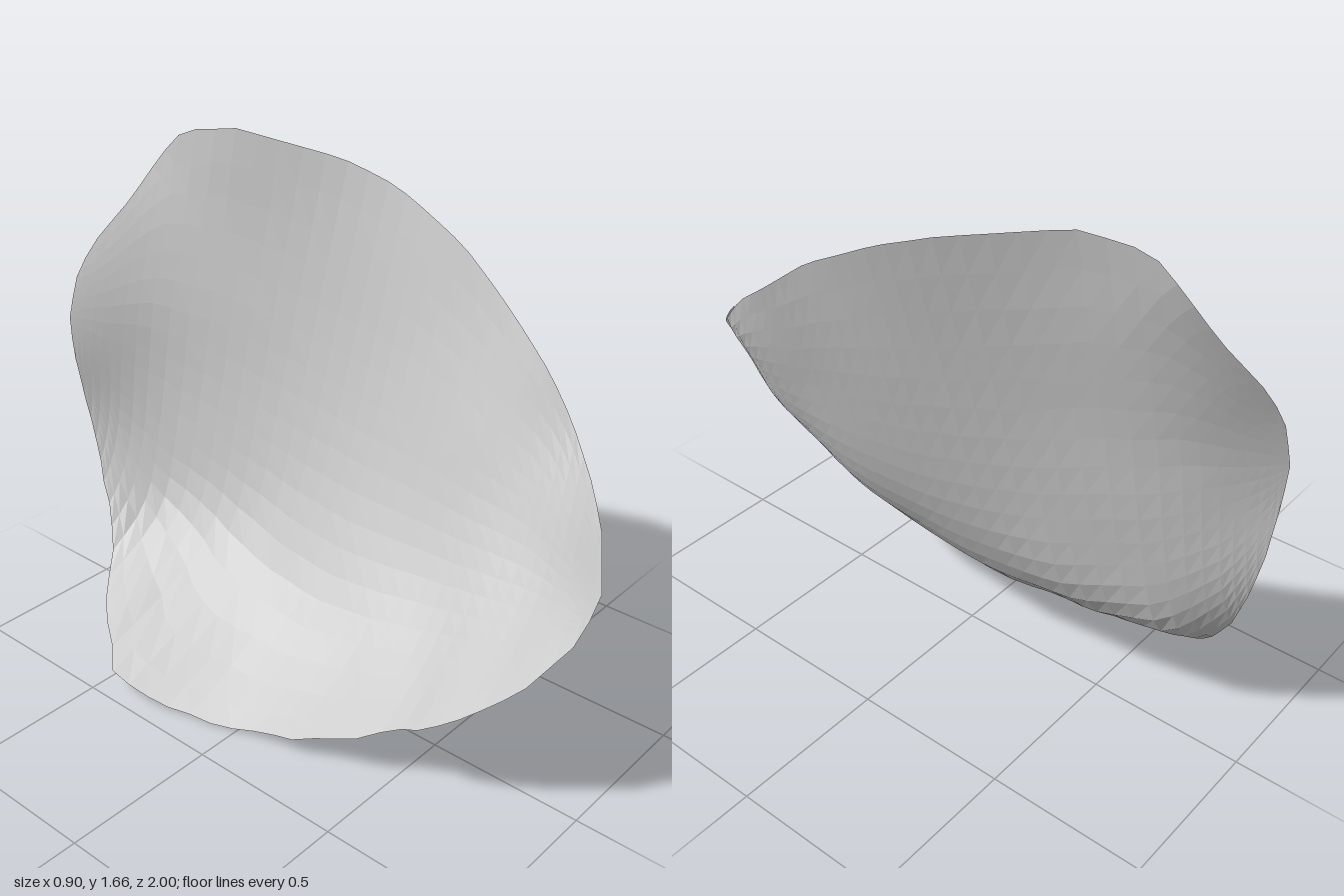
import * as THREE from 'three';

// Rim and body points as [z, y, x]; both rims run from the front tip to the back tip
const lowerRim = [
  [1, 0.77, 0], [0.98, 0.64, -0.06], [0.88, 0.485, -0.165], [0.75, 0.365, -0.21], [0.62, 0.27, -0.245],
  [0.4, 0.14, -0.28], [0.2, 0.06, -0.325], [0, 0.01, -0.355], [-0.1, 0.003, -0.385], [-0.26, 0.015, -0.43],
  [-0.45, 0.065, -0.455], [-0.62, 0.15, -0.33], [-0.71, 0.19, -0.235], [-0.76, 0.23, -0.17], [-0.82, 0.31, -0.11],
  [-0.9, 0.44, -0.065], [-0.945, 0.57, -0.045], [-0.975, 0.7, -0.05], [-0.99, 0.88, -0.07], [-1, 1.02, -0.07],
];
const upperRim = [
  [1, 0.77, 0], [0.92, 0.89, 0.11], [0.73, 0.98, 0.3], [0.57, 1.14, 0.37], [0.4, 1.26, 0.42], [0.2, 1.41, 0.445],
  [-0.05, 1.54, 0.44], [-0.22, 1.6, 0.395], [-0.53, 1.665, 0.26], [-0.71, 1.64, 0.205], [-0.79, 1.55, 0.175],
  [-0.87, 1.4, 0.1], [-0.94, 1.29, 0.03], [-0.985, 1.18, -0.03], [-1, 1.02, -0.07],
];
const body = [
  [0.88, 0.68, 0.05], [0.75, 0.48, -0.04], [0.75, 0.62, 0.11], [0.7, 0.8, 0.225],
  [0.5, 0.27, -0.11], [0.5, 0.38, 0.02], [0.5, 0.6, 0.18], [0.4, 0.87, 0.295],
  [0.2, 0.15, -0.15], [0.2, 0.27, 0], [0.1, 0.4, 0.105], [0.1, 0.6, 0.205], [0, 1.1, 0.345],
  [-0.15, 0.1, -0.2], [-0.2, 0.25, 0], [-0.2, 0.4, 0.1], [-0.3, 0.7, 0.19],
  [-0.5, 0.17, -0.2], [-0.55, 0.27, -0.04], [-0.6, 0.4, 0.055], [-0.6, 0.6, 0.105], [-0.5, 1.1, 0.2],
  [-0.76, 0.33, -0.03], [-0.78, 0.5, 0.03], [-0.8, 0.9, 0.06], [-0.8, 1.2, 0.09],
];

// Smooth thin-plate surface x(z, y) through the points
function smoothSurface(points) {
  const n = points.length, size = n + 3;
  const kernel = (a, z, y) => {
    const d = (a[0] - z) ** 2 + (a[1] - y) ** 2;
    return d > 1e-12 ? d * Math.log(d) : 0;
  };
  const m = Array.from({ length: size }, () => new Array(size + 1).fill(0));
  points.forEach((p, i) => {
    points.forEach((q, j) => { m[i][j] = kernel(q, p[0], p[1]) + (i === j ? 0.0015 : 0); });
    [1, p[0], p[1]].forEach((v, k) => { m[i][n + k] = m[n + k][i] = v; });
    m[i][size] = p[2];
  });
  // Gauss-Jordan elimination with pivoting
  for (let c = 0; c < size; c++) {
    let best = c;
    for (let r = c; r < size; r++) if (Math.abs(m[r][c]) > Math.abs(m[best][c])) best = r;
    [m[c], m[best]] = [m[best], m[c]];
    for (let r = 0; r < size; r++) {
      if (r === c) continue;
      const f = m[r][c] / m[c][c];
      for (let k = c; k <= size; k++) m[r][k] -= f * m[c][k];
    }
  }
  const w = m.map((row, i) => row[size] / row[i]);
  return (z, y) => points.reduce((s, p, i) => s + w[i] * kernel(p, z, y), w[n] + w[n + 1] * z + w[n + 2] * y);
}

// Straight-sided rim path in the side plane
function rimPath(points) {
  const path = new THREE.CurvePath();
  for (let i = 1; i < points.length; i++) {
    const [a, b] = [points[i - 1], points[i]];
    path.add(new THREE.LineCurve(new THREE.Vector2(a[0], a[1]), new THREE.Vector2(b[0], b[1])));
  }
  return path;
}

export function createModel() {
  const group = new THREE.Group();
  group.name = 'curvedShell';
  const grey = new THREE.MeshStandardMaterial({ color: 0xcccccc });
  grey.name = 'lightGrey';
  grey.side = THREE.DoubleSide;
  grey.flatShading = true;

  const surface = smoothSurface([...lowerRim, ...upperRim.slice(1, -1), ...body]);
  const low = rimPath(lowerRim), high = rimPath(upperRim);
  const columns = 40, rows = 18, positions = [], index = [];

  // Ribs run from tip to tip, closer together toward the lower rim
  for (let j = 0; j <= rows; j++) {
    const v = Math.pow(j / rows, 1.3);
    for (let i = 0; i <= columns; i++) {
      const p = low.getPoint(i / columns).lerp(high.getPoint(i / columns), v);
      positions.push(surface(p.x, p.y), p.y, p.x);
      if (i < columns && j < rows) {
        const a = j * (columns + 1) + i, b = a + columns + 1;
        if (i < columns - 1) index.push(a, a + 1, b + 1);
        if (i > 0) index.push(a, b + 1, b);
      }
    }
  }
  const geometry = new THREE.BufferGeometry();
  geometry.setAttribute('position', new THREE.Float32BufferAttribute(positions, 3));
  geometry.setIndex(index);
  geometry.computeVertexNormals();

  const shell = new THREE.Mesh(geometry, grey);
  shell.name = 'shell';
  group.add(shell);
  return group;
}
